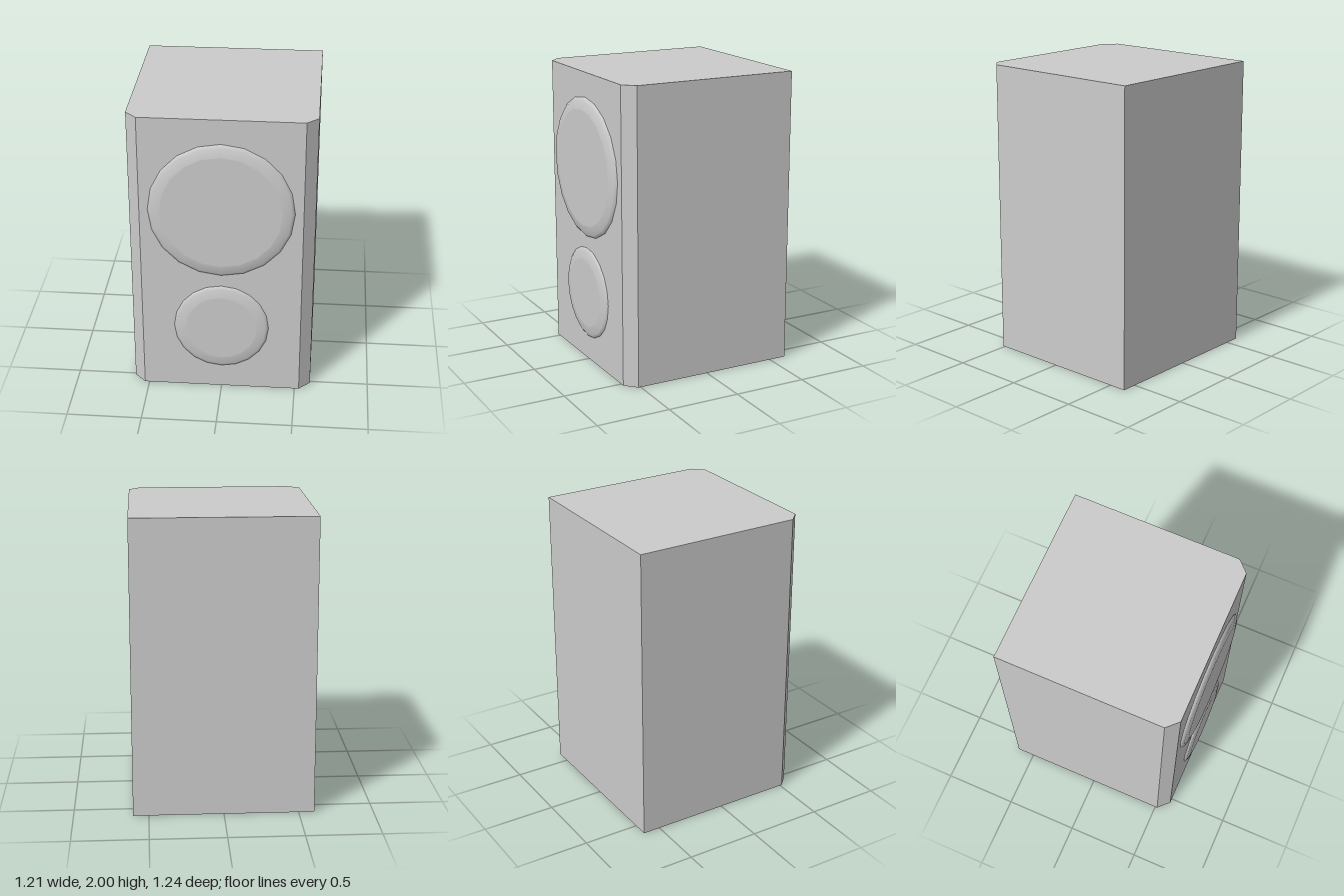
import * as THREE from 'three';

const material = new THREE.MeshStandardMaterial({ color: 0xcccccc });
const FRONT = 0.59;

// Shallow round cone with a rolled rim, standing on the front panel
function driver(name, radius, y, depth) {
  const cap = radius - 0.077;
  const profile = [
    [radius, -0.01], [radius, 0.003], [radius - 0.02, depth * 0.66],
    [cap, depth], [cap - 0.006, depth], [0, depth],
  ].map(([r, h]) => new THREE.Vector2(r, h));
  const mesh = new THREE.Mesh(new THREE.LatheGeometry(profile, 20), material);
  mesh.name = name;
  mesh.rotation.x = Math.PI / 2;
  mesh.position.set(0, y, FRONT);
  return mesh;
}

export function createModel() {
  const group = new THREE.Group();
  group.name = 'speaker';

  // Cabinet: footprint with bevelled front corners, extruded upwards
  const w = 0.605, back = 0.62, bevel = 0.075;
  const footprint = new THREE.Shape([
    [-w, -FRONT + bevel], [-w + bevel, -FRONT], [w - bevel, -FRONT],
    [w, -FRONT + bevel], [w, back], [-w, back],
  ].map(([x, y]) => new THREE.Vector2(x, y)));
  const body = new THREE.ExtrudeGeometry(footprint, { depth: 2, bevelEnabled: false });
  body.rotateX(-Math.PI / 2);
  const cabinet = new THREE.Mesh(body, material);
  cabinet.name = 'cabinet';
  group.add(cabinet);

  group.add(driver('largeDriver', 0.475, 1.36, 0.03));
  group.add(driver('smallDriver', 0.316, 0.485, 0.024));
  return group;
}
